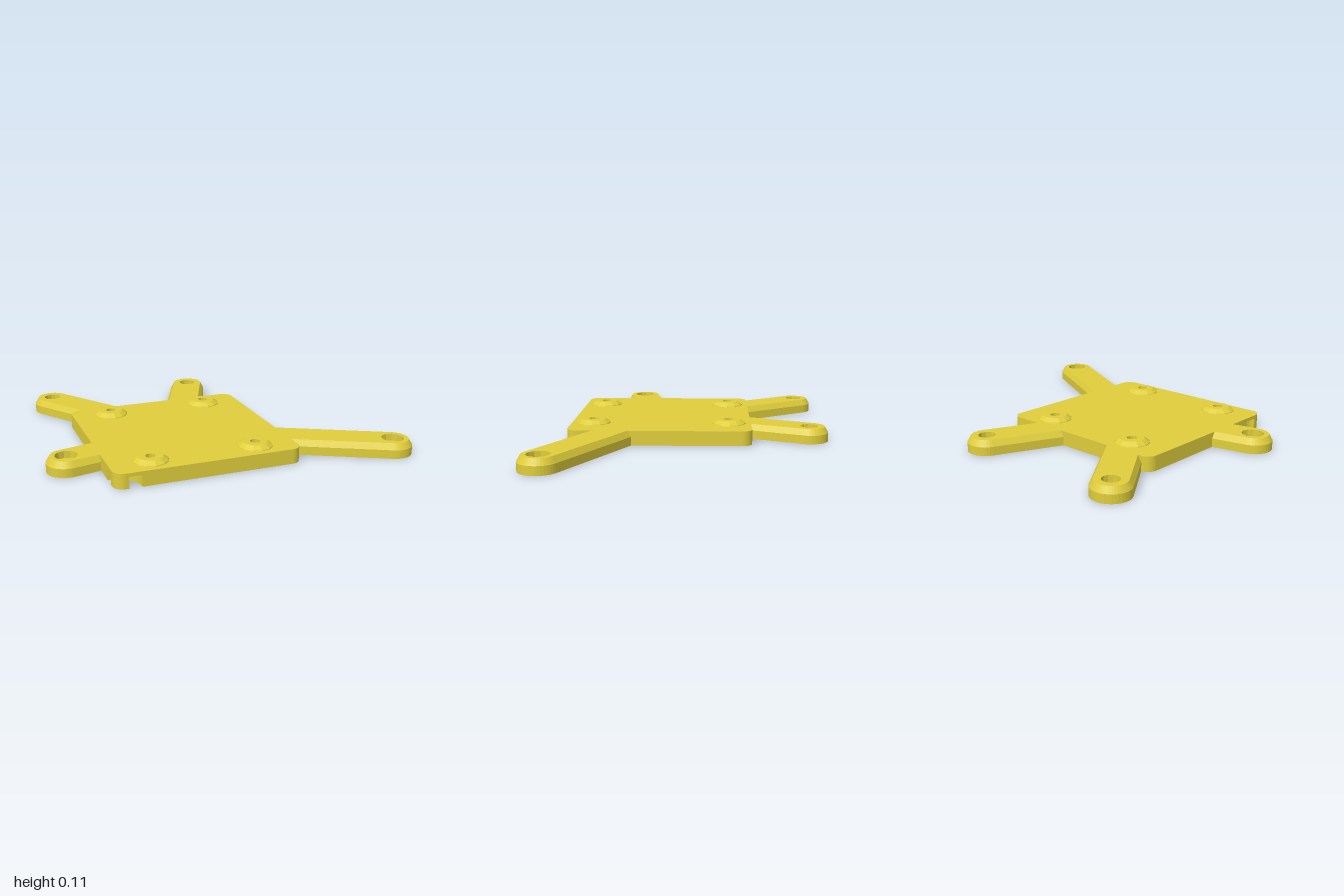
import * as THREE from 'three';

const material = new THREE.MeshStandardMaterial({ color: 0xe0ce3c, flatShading: true, side: THREE.DoubleSide });
const TOP = 0.085;
const LEFT = -0.72, RIGHT = 0.34, BACK = -0.385, FRONT = 0.675, CORNER = 0.06;
const bossSpots = [[-0.49, -0.255], [0.11, -0.255], [-0.49, 0.545], [0.11, 0.545]];

function part(name, geometry, parent) {
  const mesh = new THREE.Mesh(geometry, material);
  mesh.name = name;
  parent.add(mesh);
  return mesh;
}

// Shapes are drawn in (x, -z) and laid flat
function hole(x, z, r) {
  return new THREE.Path().absarc(x, -z, r, 0, Math.PI * 2, true);
}

function slab(shape, y0, y1) {
  return new THREE.ExtrudeGeometry(shape, { depth: y1 - y0, bevelEnabled: false, curveSegments: 10 })
    .rotateX(-Math.PI / 2).translate(0, y0, 0);
}

// Rounded square; a notch radius cuts a round bite out of the front-right corner
function plateShape(holeRadius, notch) {
  const s = new THREE.Shape(), r = CORNER, q = Math.PI / 2;
  s.moveTo(RIGHT - r, -FRONT);
  s.absarc(RIGHT - r, -FRONT + r, r, -q, 0, false);
  s.absarc(RIGHT - r, -BACK - r, r, 0, q, false);
  s.absarc(LEFT + r, -BACK - r, r, q, 2 * q, false);
  if (notch) s.absarc(LEFT, -FRONT, notch, q, 0, true);
  else s.absarc(LEFT + r, -FRONT + r, r, 2 * q, 3 * q, false);
  s.closePath();
  for (const [x, z] of bossSpots) s.holes.push(hole(x, z, holeRadius));
  return s;
}

// Arm outline: round tip, straight sides that end on the plate edge
function armOutline(tip, root, axis, r) {
  const d = root.clone().sub(tip).normalize();
  const a = Math.atan2(d.y, d.x);
  const side = new THREE.Vector2(-d.y, d.x);
  const rootPoint = (sign) => {
    const p = tip.clone().addScaledVector(side, sign * r);
    return p.addScaledVector(d, (root[axis] - p[axis]) / d[axis]);
  };
  const points = [rootPoint(1)];
  for (let i = 0; i <= 20; i++) {
    const t = a + Math.PI / 2 + Math.PI * i / 20;
    points.push(new THREE.Vector2(tip.x + r * Math.cos(t), tip.y + r * Math.sin(t)));
  }
  points.push(rootPoint(-1));
  return points;
}

function addArm(group, { name, tip, root, axis, bore, sink }) {
  const arm = new THREE.Group();
  arm.name = name;
  group.add(arm);
  const t = new THREE.Vector2(tip[0], -tip[1]), e = new THREE.Vector2(root[0], -root[1]);
  const levels = [[0, 0.11], [0.05, 0.11], [TOP, 0.09]];
  const rings = levels.map(([y, r]) => ({ y, points: armOutline(t, e, axis, r) }));

  // Side walls with the chamfer along the top
  const pos = [], index = [], n = rings[0].points.length;
  for (const { y, points } of rings) for (const p of points) pos.push(p.x, y, -p.y);
  for (let k = 0; k < 2; k++) {
    for (let i = 0; i < n; i++) {
      const j = (i + 1) % n, a = k * n + i, b = k * n + j;
      index.push(a, b, b + n, a, b + n, a + n);
    }
  }
  const walls = new THREE.BufferGeometry();
  walls.setAttribute('position', new THREE.Float32BufferAttribute(pos, 3));
  walls.setIndex(index);
  walls.computeVertexNormals();
  part('armSides', walls, arm);

  // Top and bottom faces
  for (const [ring, r, label] of [[rings[0], bore, 'armBottom'], [rings[2], sink, 'armTop']]) {
    const s = new THREE.Shape(ring.points);
    s.holes.push(hole(tip[0], tip[1], r));
    const face = new THREE.ShapeGeometry(s, 6).rotateX(-Math.PI / 2).translate(0, ring.y, 0);
    if (ring.y === 0) {
      const ix = face.index.array;
      for (let i = 0; i < ix.length; i += 3) [ix[i], ix[i + 1]] = [ix[i + 1], ix[i]];
      face.computeVertexNormals();
    }
    part(label, face, arm);
  }

  // Stepped screw hole
  const profile = [[bore, 0], [bore, 0.045], [sink, 0.045], [sink, TOP]].map(([x, y]) => new THREE.Vector2(x, y));
  part('screwHole', new THREE.LatheGeometry(profile, 12), arm).position.set(tip[0], 0, tip[1]);
}

export function createModel() {
  const group = new THREE.Group();
  group.name = 'mountingPlate';

  // Plate in two layers: wide holes and the corner channel below, narrow holes above
  part('plateLower', slab(plateShape(0.043, 0.145), 0, 0.065), group);
  part('plateUpper', slab(plateShape(0.028, 0), 0.065, TOP), group);

  // Corner post inside the curved tie channel
  const post = new THREE.Shape();
  post.moveTo(LEFT + CORNER, -FRONT);
  post.lineTo(LEFT + 0.075, -FRONT);
  post.absarc(LEFT, -FRONT, 0.075, 0, Math.PI / 2, false);
  post.lineTo(LEFT, -FRONT + CORNER);
  post.absarc(LEFT + CORNER, -FRONT + CORNER, CORNER, Math.PI, Math.PI * 1.5, false);
  part('cornerPost', slab(post, 0, 0.065), group);

  // Raised tapered bosses around the plate holes
  const boss = [[0.1, TOP], [0.098, 0.09], [0.07, 0.11], [0.028, 0.11], [0.028, TOP]]
    .map(([x, y]) => new THREE.Vector2(x, y));
  for (const [x, z] of bossSpots) {
    part('boss', new THREE.LatheGeometry(boss, 12), group).position.set(x, 0, z);
  }

  // Arms reaching out to the screw points
  const arms = [
    { name: 'backRightArm', tip: [-0.76, -0.72], root: [-0.535, BACK], axis: 'y', bore: 0.027, sink: 0.05 },
    { name: 'backLeftArm', tip: [0.175, -0.72], root: [0.03, BACK], axis: 'y', bore: 0.027, sink: 0.05 },
    { name: 'shortRightArm', tip: [-0.89, 0.32], root: [LEFT, 0.283], axis: 'x', bore: 0.034, sink: 0.063 },
    { name: 'longLeftArm', tip: [0.885, 0.715], root: [RIGHT, 0.428], axis: 'x', bore: 0.034, sink: 0.063 },
  ];
  for (const arm of arms) addArm(group, arm);
  return group;
}
